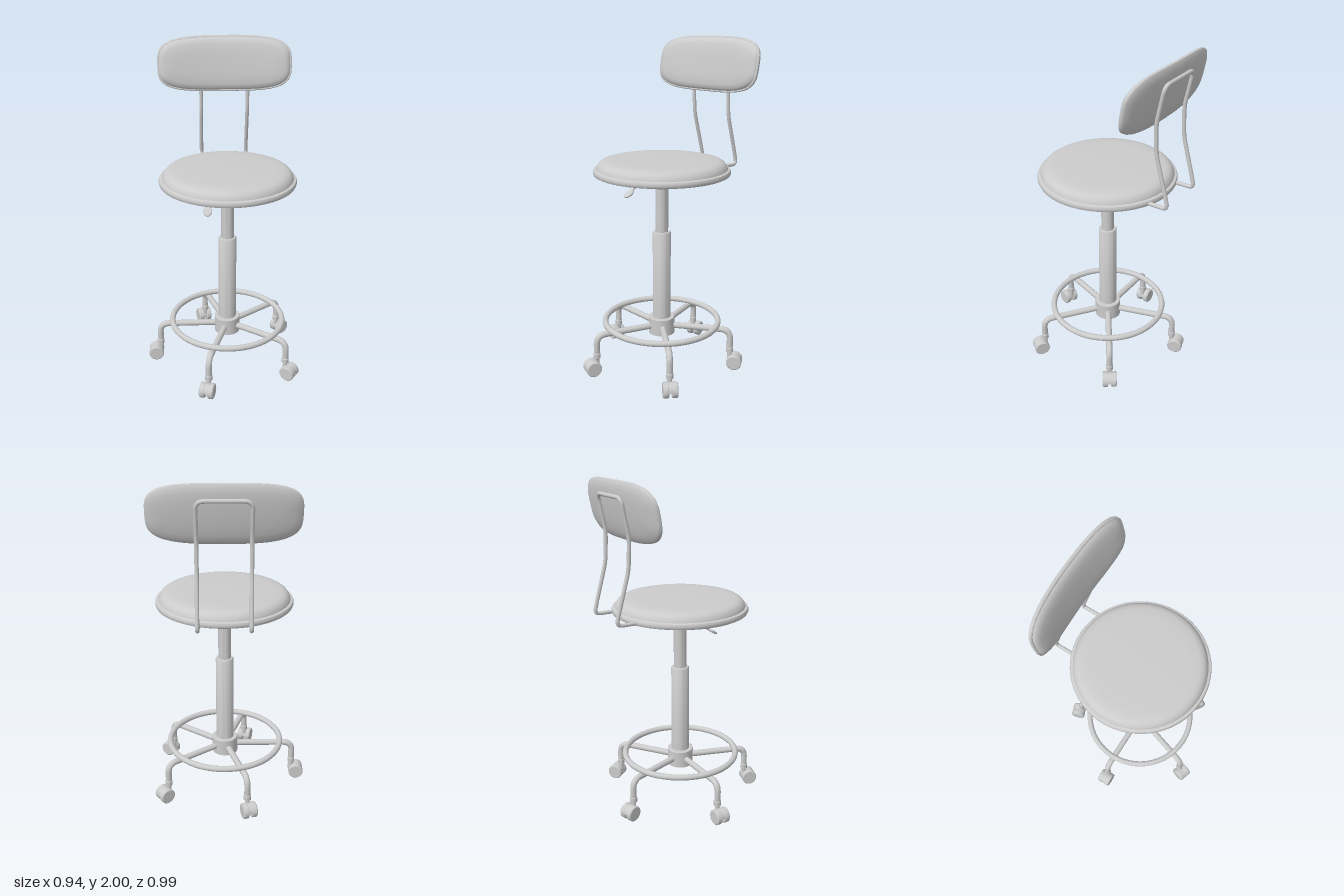
import * as THREE from 'three';
import { toCreasedNormals, mergeVertices } from 'three/addons/utils/BufferGeometryUtils.js';

const grey = new THREE.MeshStandardMaterial({ color: 0xcccccc });
const V = (x, y, z) => new THREE.Vector3(x, y, z);

function add(parent, name, geometry, x = 0, y = 0, z = 0) {
  const mesh = new THREE.Mesh(geometry, grey);
  mesh.name = name;
  mesh.position.set(x, y, z);
  parent.add(mesh);
  return mesh;
}

// Turned part from [radius, height] pairs, listed bottom to top
function lathe(profile, segments = 48) {
  const pts = profile.map(([r, y]) => new THREE.Vector2(r, y));
  return toCreasedNormals(new THREE.LatheGeometry(pts, segments), 0.6);
}

// Tube along straight runs joined by rounded corners
function bentTube(points, bend, radius, sides = 12) {
  const path = new THREE.CurvePath();
  let last = points[0];
  for (let i = 1; i < points.length - 1; i++) {
    const p = points[i];
    const toA = points[i - 1].clone().sub(p), toB = points[i + 1].clone().sub(p);
    const d = Math.min(bend, toA.length() * 0.48, toB.length() * 0.48);
    const a = p.clone().addScaledVector(toA.normalize(), d);
    const b = p.clone().addScaledVector(toB.normalize(), d);
    path.add(new THREE.LineCurve3(last, a));
    path.add(new THREE.QuadraticBezierCurve3(a, p, b));
    last = b;
  }
  path.add(new THREE.LineCurve3(last, points[points.length - 1]));
  return new THREE.TubeGeometry(path, points.length * 20, radius, sides);
}

// Pillow pad: inset rounded outlines stacked from back to front, then bowed and tilted
function padGeometry() {
  const a = 0.407, b = 0.163, n = 96, power = 2 / 3.5;
  const rings = [ // [inset, depth]
    [0.163, -0.036], [0.13, -0.036], [0.09, -0.034], [0.05, -0.03], [0.025, -0.024], [0.01, -0.017],
    [0.002, -0.012], [0, -0.006], [0, 0.002], [0.004, 0.006], [0.011, 0.006],
    [0.014, 0.012], [0.024, 0.021], [0.045, 0.028], [0.09, 0.032], [0.13, 0.033], [0.163, 0.033],
  ];
  const pos = [], index = [];
  rings.forEach(([inset, depth], r) => {
    for (let i = 0; i < n; i++) {
      const t = (i / n) * Math.PI * 2, c = Math.cos(t), s = Math.sin(t);
      const x = (a - inset) * Math.sign(c) * Math.abs(c) ** power;
      const y = (b - inset) * Math.sign(s) * Math.abs(s) ** power;
      pos.push(x, y, depth - 0.19 * y + 0.03 * (x / a) ** 2);
      if (r) {
        const j = (i + 1) % n, p = (r - 1) * n, q = r * n;
        index.push(p + i, p + j, q + j, p + i, q + j, q + i);
      }
    }
  });
  const g = new THREE.BufferGeometry();
  g.setAttribute('position', new THREE.Float32BufferAttribute(pos, 3));
  g.setIndex(index);
  return toCreasedNormals(mergeVertices(g), 0.8);
}

// One leg with its twin-wheel caster, pointing along +x
function createLeg() {
  const leg = new THREE.Group();
  leg.name = 'leg';
  add(leg, 'legTube', bentTube([V(0.05, 0.25, 0), V(0.43, 0.25, 0), V(0.43, 0.125, 0)], 0.075, 0.019));
  add(leg, 'casterStem', lathe([[0, 0.07], [0.014, 0.07], [0.014, 0.1], [0.022, 0.105], [0.022, 0.133], [0.018, 0.138], [0, 0.138]], 20));
  leg.children[1].position.x = 0.43;
  const wheel = lathe([[0, -0.017], [0.042, -0.017], [0.047, -0.012], [0.047, 0.012], [0.042, 0.017], [0, 0.017]], 28);
  for (const side of [-1, 1]) {
    add(leg, 'casterWheel', wheel, 0.46, 0.047, side * 0.026).rotation.x = Math.PI / 2;
  }
  // Hood filling the upper gap between the wheels
  const hood = new THREE.Shape();
  hood.absarc(0, 0, 0.045, 0, Math.PI, false);
  add(leg, 'casterHood', new THREE.ExtrudeGeometry(hood, { depth: 0.026, bevelEnabled: false }), 0.46, 0.047, -0.013);
  const axle = new THREE.CylinderGeometry(0.012, 0.012, 0.04, 16);
  add(leg, 'casterAxle', axle, 0.46, 0.047, 0).rotation.x = Math.PI / 2;
  return leg;
}

export function createModel() {
  const model = new THREE.Group();
  model.name = 'stool';
  const stool = new THREE.Group();
  stool.name = 'stoolBody';
  stool.position.x = 0.035;
  model.add(stool);

  // Five-legged base with foot ring
  for (let i = 0; i < 5; i++) {
    const leg = createLeg();
    leg.rotation.y = Math.PI + (i * Math.PI * 2) / 5;
    stool.add(leg);
  }
  add(stool, 'footRing', new THREE.TorusGeometry(0.35, 0.018, 14, 80), 0, 0.28, 0).rotation.x = Math.PI / 2;
  add(stool, 'hub', lathe([[0, 0.2], [0.08, 0.2], [0.08, 0.302], [0.077, 0.306], [0, 0.306]]));

  // Telescopic column
  add(stool, 'outerColumn', lathe([[0, 0.25], [0.055, 0.25], [0.055, 0.848], [0.05, 0.856], [0, 0.856]], 36));
  add(stool, 'innerColumn', lathe([[0.039, 0.84], [0.039, 1.15]], 32));
  add(stool, 'seatMount', lathe([[0, 1.124], [0.046, 1.124], [0.058, 1.14], [0.072, 1.165], [0.081, 1.19], [0.085, 1.215]], 36));

  // Seat
  add(stool, 'seatRim', lathe([[0, 1.21], [0.395, 1.21], [0.403, 1.214], [0.407, 1.222], [0.407, 1.234], [0.403, 1.243], [0.394, 1.247], [0.37, 1.247]], 72));
  add(stool, 'seatCushion', lathe([[0.39, 1.24], [0.388, 1.25], [0.382, 1.264], [0.372, 1.278], [0.358, 1.288], [0.335, 1.294], [0.28, 1.297], [0.15, 1.299], [0, 1.3]], 72));

  // Height lever with paddle
  add(stool, 'lever', bentTube([V(-0.03, 1.175, 0.02), V(-0.125, 1.175, 0.02), V(-0.125, 1.1, 0.135)], 0.035, 0.008, 10));
  const paddle = lathe([[0, -0.007], [0.022, -0.007], [0.026, -0.003], [0.026, 0.003], [0.022, 0.007], [0, 0.007]], 24);
  const paddleMesh = add(stool, 'leverPaddle', paddle, -0.125, 1.09, 0.15);
  paddleMesh.rotation.x = 0.56;
  paddleMesh.scale.z = 1.35;

  // Backrest wire frame: half path mirrored into one continuous loop
  const half = [[1.225, -0.34], [1.226, -0.492], [1.3, -0.474], [1.53, -0.41], [1.7, -0.402], [1.915, -0.446]];
  const leftSide = half.map(([y, z]) => V(0.144, y, z));
  const rightSide = half.map(([y, z]) => V(-0.144, y, z)).reverse();
  add(stool, 'backFrame', bentTube([...leftSide, ...rightSide], 0.045, 0.0115));
  add(stool, 'backrestPad', padGeometry(), 0, 1.837, -0.389);

  return model;
}
